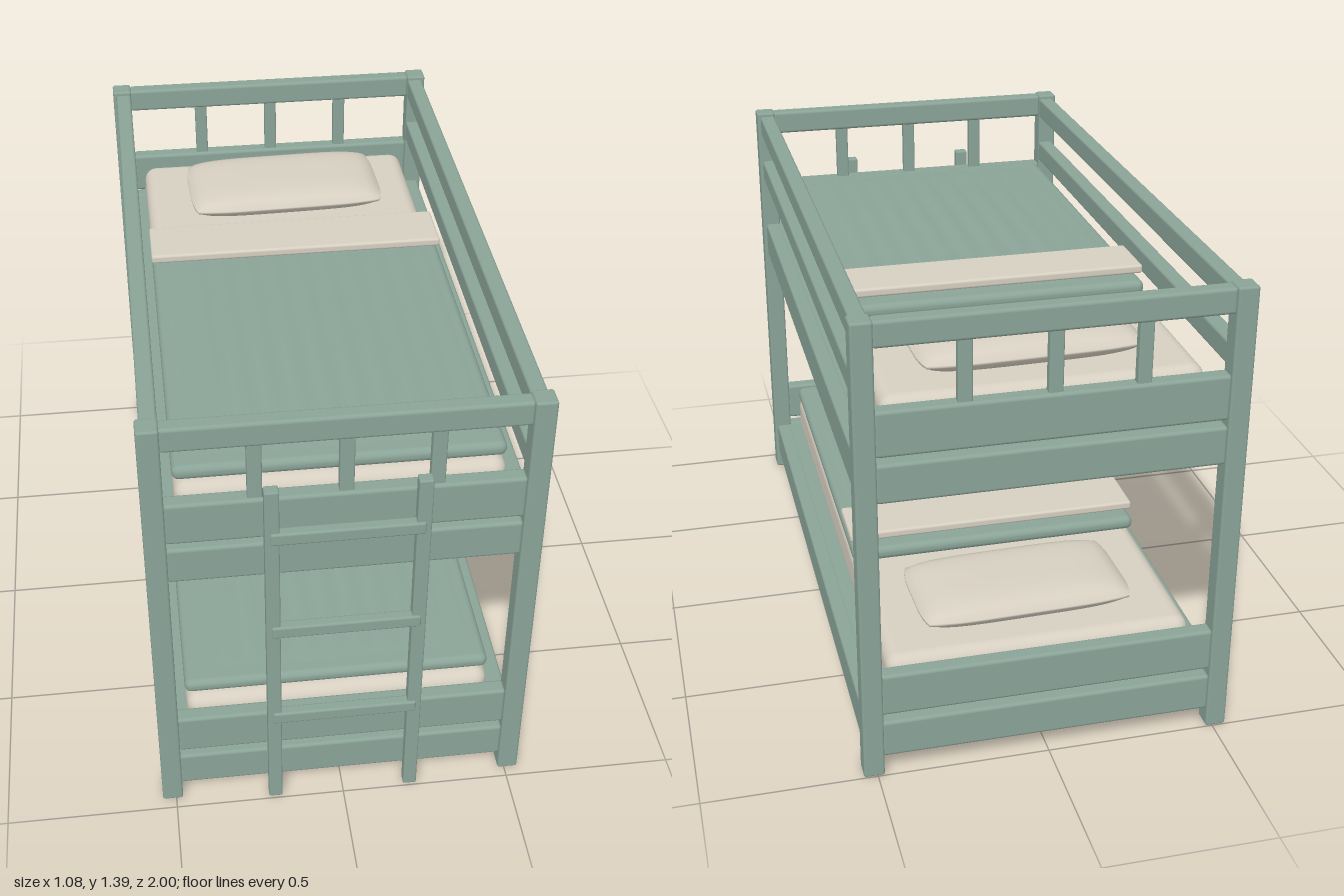
import * as THREE from 'three';
import { mergeVertices } from 'three/addons/utils/BufferGeometryUtils.js';
import { RoundedBoxGeometry } from 'three/addons/geometries/RoundedBoxGeometry.js';

const green = new THREE.MeshStandardMaterial({ color: 0x8aa397 });
green.name = 'sage green';
const cream = new THREE.MeshStandardMaterial({ color: 0xd6cfc1 });
cream.name = 'warm cream';

export function createModel() {
  const model = new THREE.Group();
  model.name = 'bunkBed';

  const add = (parent, name, geometry, material) => {
    const mesh = new THREE.Mesh(geometry, material);
    mesh.name = name;
    parent.add(mesh);
    return mesh;
  };
  // Softened box given by its extents on each axis
  const block = (parent, name, material, [x0, x1], [y0, y1], [z0, z1], r = 0.007) => {
    const mesh = add(parent, name, new RoundedBoxGeometry(x1 - x0, y1 - y0, z1 - z0, 3, r), material);
    mesh.position.set((x0 + x1) / 2, (y0 + y1) / 2, (z0 + z1) / 2);
    return mesh;
  };

  // Four corner posts
  const ends = [['front', 0.905, 0.968], ['back', -1, -0.937]];
  for (const [label, z0, z1] of ends) {
    for (const s of [-1, 1]) {
      const x = s * 0.51;
      block(model, label + 'Post', green, [x - 0.03, x + 0.03], [0, 1.39], [z0, z1]);
    }
    // Rails and slats at the head and the foot
    const inner = [z0 + 0.006, z1 - 0.008];
    for (const [name, y0, y1] of [
      ['EndTopRail', 1.313, 1.388], ['EndPanelUpper', 1.005, 1.138], ['EndFrameUpper', 0.87, 0.985],
      ['EndPanelLower', 0.2, 0.33], ['EndFrameLower', 0.06, 0.175],
    ]) block(model, label + name, green, [-0.483, 0.483], [y0, y1], inner, 0.01);
    const zc = (inner[0] + inner[1]) / 2;
    for (const x of [-0.242, 0, 0.242])
      block(model, label + 'Slat', green, [x - 0.02, x + 0.02], [1.13, 1.32], [zc - 0.014, zc + 0.014], 0.005);
  }

  // Long side rails
  for (const s of [-1, 1]) {
    const xs = [s * 0.505 - 0.024, s * 0.505 + 0.024];
    for (const [name, y0, y1] of [
      ['guardRailTop', 1.31, 1.378], ['guardRailMiddle', 1.15, 1.218],
      ['sideFrameUpper', 0.87, 0.983], ['sideFrameLower', 0.06, 0.173],
    ]) block(model, name, green, xs, [y0, y1], [-0.945, 0.912], 0.008);
  }

  // Pillow: a box pinched to a thin rim with rounded corners
  const pillowGeometry = () => {
    let g = new THREE.BoxGeometry(2, 2, 2, 28, 2, 20);
    g.deleteAttribute('uv');
    g.deleteAttribute('normal');
    const p = g.attributes.position;
    for (let i = 0; i < p.count; i++) {
      const u = p.getX(i), v = p.getZ(i);
      const puff = Math.sqrt(Math.max(0, (1 - u ** 4) * (1 - v ** 4)));
      p.setXYZ(i, u * 0.315 * (1 - 0.04 * v ** 6), p.getY(i) * (0.004 + 0.036 * puff), v * 0.17 * (1 - 0.07 * u ** 6));
    }
    g = mergeVertices(g);
    g.computeVertexNormals();
    return g;
  };
  // Piping that follows the pillow rim
  const rim = [];
  for (let i = 0; i < 48; i++) {
    const a = (i / 48) * Math.PI * 2, c = Math.cos(a), s = Math.sin(a);
    rim.push(new THREE.Vector3(Math.sign(c) * Math.abs(c) ** 0.3 * 0.313, 0, Math.sign(s) * Math.abs(s) ** 0.3 * 0.168));
  }
  const pipingGeometry = new THREE.TubeGeometry(new THREE.CatmullRomCurve3(rim, true), 96, 0.005, 6, true);

  // Gently rippled top of the blanket
  const quiltGeometry = () => {
    const g = new THREE.PlaneGeometry(0.84, 1.14, 84, 30);
    g.rotateX(-Math.PI / 2);
    const p = g.attributes.position;
    for (let i = 0; i < p.count; i++) {
      const x = p.getX(i), z = p.getZ(i);
      const fade = Math.cos((x / 0.84) * Math.PI) ** 0.5 * Math.cos((z / 1.14) * Math.PI) ** 0.5 || 0;
      p.setY(i, -0.001 + fade * (0.009 + 0.002 * Math.cos((x / 0.08) * Math.PI * 2)));
    }
    g.computeVertexNormals();
    return g;
  };

  // Two identical beds, one above the other
  for (const [label, y] of [['lower', 0], ['upper', 0.81]]) {
    const bed = new THREE.Group();
    bed.name = label + 'Bed';
    bed.position.y = y;
    model.add(bed);
    block(bed, 'platform', green, [-0.49, 0.49], [0.061, 0.172], [-0.95, 0.92], 0.004);
    block(bed, 'mattress', cream, [-0.45, 0.45], [0.173, 0.317], [-0.905, 0.878], 0.04);
    block(bed, 'blanket', green, [-0.453, 0.453], [0.313, 0.357], [-0.37, 0.845], 0.02);
    add(bed, 'blanketTop', quiltGeometry(), green).position.set(0, 0.357, 0.237);
    block(bed, 'foldedSheet', cream, [-0.455, 0.455], [0.37, 0.397], [-0.337, -0.158], 0.008);

    const pillow = new THREE.Group();
    pillow.name = 'pillow';
    pillow.position.set(0.01, 0.355, -0.648);
    pillow.rotation.y = 0.03;
    bed.add(pillow);
    add(pillow, 'pillowBody', pillowGeometry(), cream);
    add(pillow, 'pillowPiping', pipingGeometry, cream);
  }

  // Ladder at the foot end
  const ladder = new THREE.Group();
  ladder.name = 'ladder';
  model.add(ladder);
  for (const x of [-0.203, 0.203])
    block(ladder, 'ladderUpright', green, [x - 0.02, x + 0.02], [0, 1.185], [0.96, 0.994], 0.005);
  for (const y of [0.342, 0.685, 1.026])
    block(ladder, 'ladderRung', green, [-0.208, 0.208], [y - 0.02, y + 0.02], [0.967, 1], 0.007);

  return model;
}
